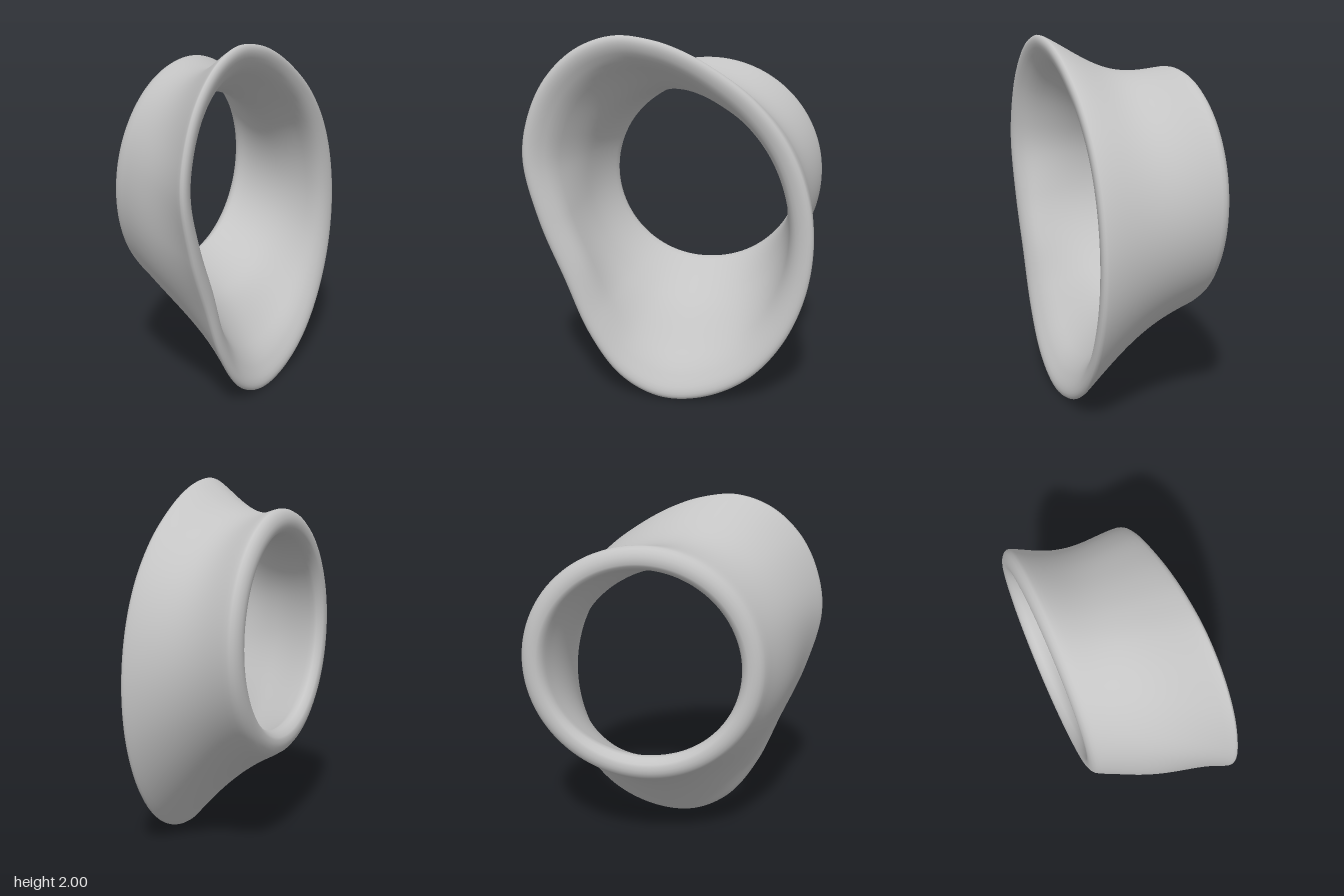
import * as THREE from 'three';

// Outer edge of the wide rim as (z, y), counter-clockwise
const RIM = [
  [0.8, 1.34], [0.765, 1.57], [0.665, 1.775], [0.5, 1.93], [0.3, 2.0], [0.1, 1.98], [-0.07, 1.92],
  [-0.24, 1.825], [-0.43, 1.68], [-0.6, 1.475], [-0.71, 1.23], [-0.757, 0.94], [-0.725, 0.64],
  [-0.61, 0.36], [-0.44, 0.155], [-0.24, 0.04], [-0.03, 0.0], [0.13, 0.03], [0.3, 0.14],
  [0.46, 0.37], [0.59, 0.68], [0.72, 1.0],
];
const RIM_CENTRE = [0.02, 1.05];
const BACK_CENTRE = [-0.14, 1.18];
const BACK_RADIUS = 0.66;
const WALL = 0.128;
const AROUND = 180;
const { clamp, smoothstep } = THREE.MathUtils;

// Position along the sleeve, 0 at the round end and 1 at the wide rim
const along = (x) => clamp((x + 0.3) / 0.62, 0, 1);
// How far the round end has turned into the wide rim at x
const blend = (x) => along(x) * (0.7 + 0.3 * along(x));
// Waist between the ends, deepest at the upper back and bulging at the front
const waistDepth = (a) => 0.025 + 0.055 * Math.cos(a - 2.44) - 0.022 * Math.cos(2 * a);
const waist = (x, a) => waistDepth(a) * Math.abs(Math.sin(Math.PI * along(x) ** 0.9)) ** 1.4;

// Wall profile as [x, fixed inset, share of the wall thickness]
function wallProfile() {
  const p = [
    [-0.34, 0.07, 0], [-0.338, 0.05, 0], [-0.329, 0.029, 0],
    [-0.315, 0.012, 0], [-0.298, 0.003, 0],
  ];
  for (let i = 0; i <= 20; i++) p.push([-0.28 + 0.0295 * i, 0, 0]); // outside
  p.push([0.323, 0.002, 0], [0.333, 0.008, 0], [0.339, 0.022, 0]); // rim lip
  p.push([0.34, 0.036, 0], [0.338, 0.052, 0], [0.331, 0, 0.58], [0.318, 0, 0.75], [0.3, 0, 0.87]);
  for (let i = 0; i <= 20; i++) p.push([0.28 - 0.028 * i, 0, i ? 1 : 0.95]); // inside
  p.push([-0.3, 0, 0.98], [-0.318, 0, 0.91], [-0.332, 0, 0.8], [-0.338, 0, 0.7]);
  return p;
}

function sleeveGeometry() {
  const curve = new THREE.CatmullRomCurve3(RIM.map(([z, y]) => new THREE.Vector3(0, y, z)), true);
  const rim = curve.getSpacedPoints(AROUND).slice(0, AROUND);
  const profile = wallProfile();
  const n = profile.length;
  const positions = [];
  const index = [];

  rim.forEach((r, i) => {
    const a = Math.atan2(r.y - RIM_CENTRE[1], r.z - RIM_CENTRE[0]);
    const c = Math.cos(a);
    const s = Math.sin(a);
    const bz = BACK_CENTRE[0] + BACK_RADIUS * c;
    const by = BACK_CENTRE[1] + BACK_RADIUS * s;
    const flare = (r.z - bz) * c + (r.y - by) * s;
    profile.forEach(([x, inset, share], j) => {
      const t = blend(x);
      // Steeper walls need a longer radial step, fading out towards the thinner rim
      const slope = flare * (blend(x + 0.01) - blend(x - 0.01)) / 0.02;
      const thick = Math.hypot(1, slope * (1 - smoothstep(x, 0, 0.3)));
      const d = waist(x, a) + inset + share * WALL * thick;
      positions.push(x, by + (r.y - by) * t - s * d, bz + (r.z - bz) * t - c * d);
      const k = (j + 1) % n;
      const i2 = (i + 1) % AROUND;
      const p = i * n + j, q = i * n + k, u = i2 * n + j, v = i2 * n + k;
      index.push(p, q, u, q, v, u);
    });
  });

  const g = new THREE.BufferGeometry();
  g.setAttribute('position', new THREE.Float32BufferAttribute(positions, 3));
  g.setIndex(index);
  g.computeVertexNormals();
  return g;
}

export function createModel() {
  const grey = new THREE.MeshStandardMaterial({ color: 0xc4c4c4 });
  grey.name = 'light grey';
  const group = new THREE.Group();
  group.name = 'flaredSleeve';
  const sleeve = new THREE.Mesh(sleeveGeometry(), grey);
  sleeve.name = 'sleeve';
  group.add(sleeve);
  return group;
}
